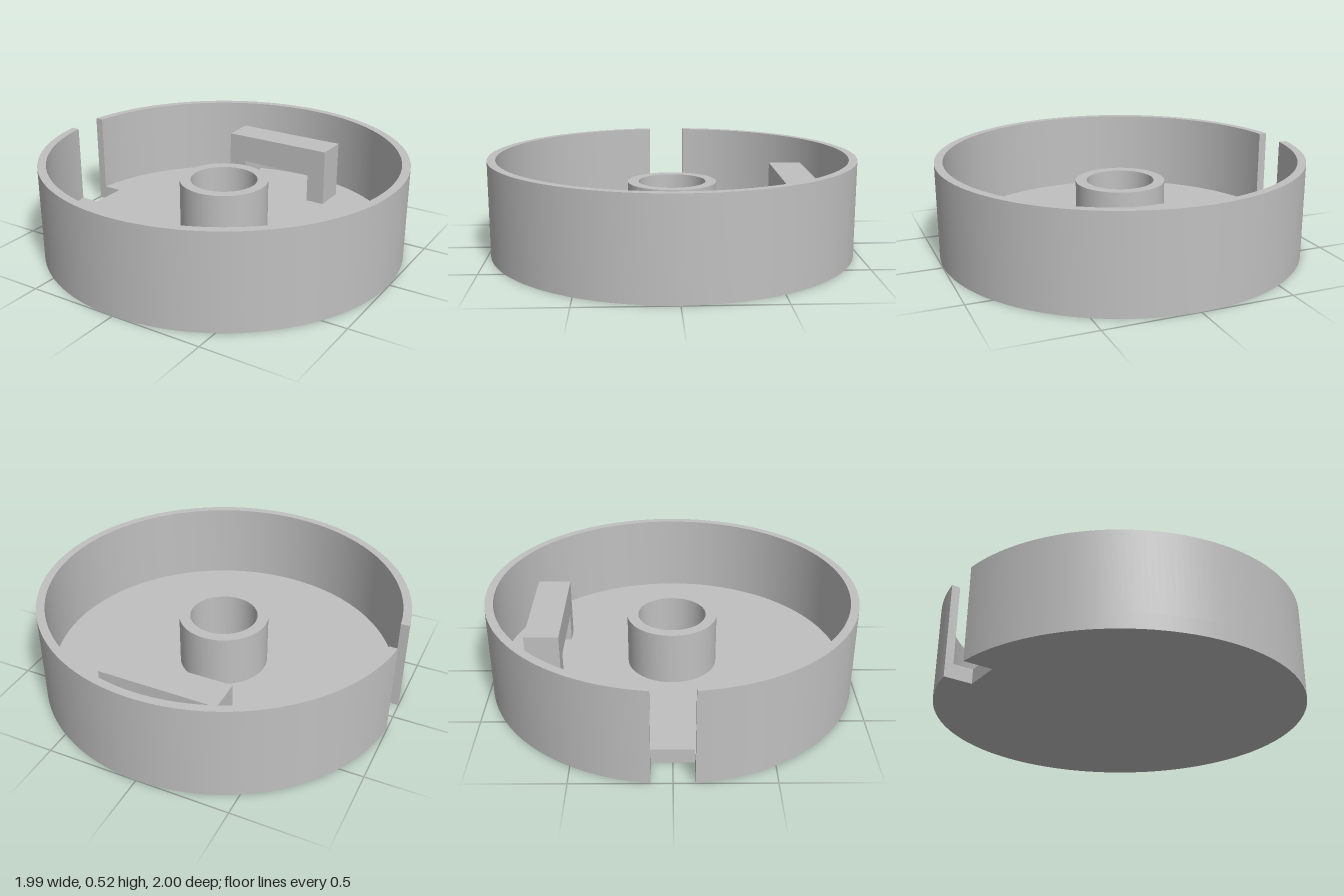
import * as THREE from 'three';
import { toCreasedNormals } from 'three/addons/utils/BufferGeometryUtils.js';

const RADIUS = 1, INNER = 0.955, HEIGHT = 0.52, FLOOR = 0.08;
const NOTCH_HALF = 0.107, NOTCH_X = -0.84;
const OVERLAP = 0.01; // sinks parts slightly into the floor

export function createModel() {
  const grey = new THREE.MeshStandardMaterial({ color: 0xc0c0c0 });
  grey.name = 'grey';
  const group = new THREE.Group();
  group.name = 'roundHousing';

  const extrude = (shape, depth) =>
    new THREE.ExtrudeGeometry(shape, { depth, bevelEnabled: false, curveSegments: 96 });
  const add = (name, geometry) => {
    const mesh = new THREE.Mesh(toCreasedNormals(geometry, 0.5), grey);
    mesh.name = name;
    group.add(mesh);
  };
  // Extrudes a plan outline upward from y0 to y1
  const addUpright = (name, shape, y0, y1) =>
    add(name, extrude(shape, y1 - y0).rotateX(-Math.PI / 2).translate(0, y0, 0));
  // Angle at which a circle meets the side of the notch
  const notchAngle = (r) => Math.PI - Math.asin(NOTCH_HALF / r);

  // Floor disc with a square notch in its edge
  const outer = notchAngle(RADIUS), inner = notchAngle(INNER);
  const floor = new THREE.Shape();
  floor.absarc(0, 0, RADIUS, -outer, outer, false);
  floor.lineTo(NOTCH_X, NOTCH_HALF);
  floor.lineTo(NOTCH_X, -NOTCH_HALF);
  floor.closePath();
  addUpright('floor', floor, 0, FLOOR);

  // Thin rim wall, open at the notch
  const wall = new THREE.Shape();
  wall.absarc(0, 0, RADIUS, -outer, outer, false);
  wall.absarc(0, 0, INNER, inner, -inner, true);
  wall.closePath();
  addUpright('rimWall', wall, FLOOR, HEIGHT);

  // Hollow central hub
  const hub = new THREE.Shape().absarc(0, 0, 0.245, 0, Math.PI * 2, false);
  hub.holes.push(new THREE.Path().absarc(0, 0, 0.185, 0, Math.PI * 2, true));
  addUpright('hub', hub, FLOOR - OVERLAP, 0.37);

  // Bridge bracket: a beam on two legs
  const half = 0.325, leg = 0.217, base = FLOOR - OVERLAP, under = 0.245, top = 0.408;
  const bridge = new THREE.Shape([
    [-half, base], [-leg, base], [-leg, under], [leg, under],
    [leg, base], [half, base], [half, top], [-half, top],
  ].map(([x, y]) => new THREE.Vector2(x, y)));
  add('bridgeBracket', extrude(bridge, 0.182).translate(0, 0, -0.77));

  // The notch trims one side, so shift to centre the overall width
  group.children.forEach((mesh) => { mesh.position.x = -0.003; });
  return group;
}
